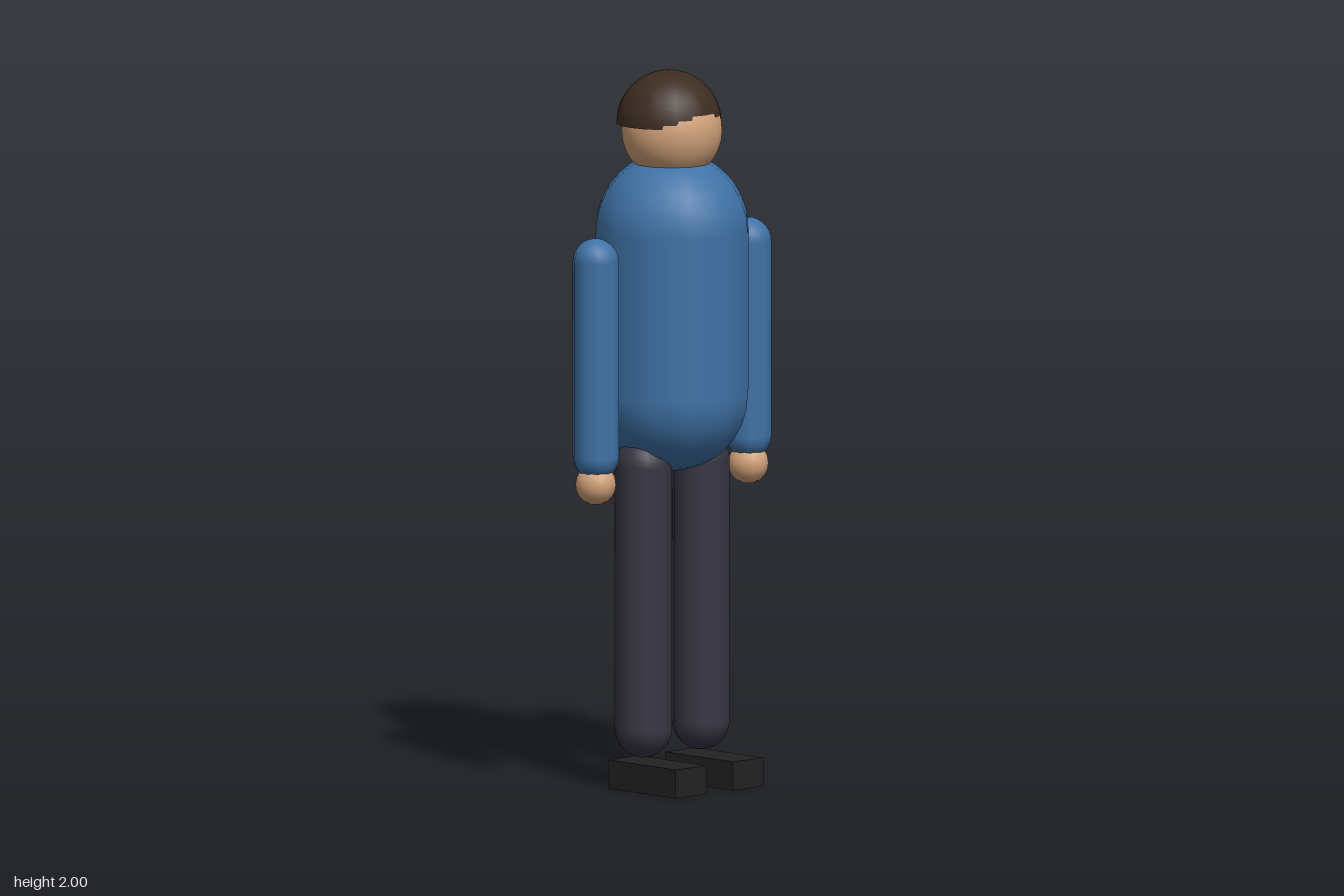
import * as THREE from 'three';

const material = (name, color) => {
  const m = new THREE.MeshStandardMaterial({ color });
  m.name = name;
  return m;
};

export function createModel() {
  const shirt = material('blue shirt', 0x3f72a6);
  const trousers = material('dark trousers', 0x383643);
  const skin = material('skin', 0xd2a27a);
  const hairBrown = material('brown hair', 0x3d2c21);
  const leather = material('black leather', 0x222222);

  const model = new THREE.Group();
  model.name = 'person';

  const add = (name, geometry, mat, x, y, z = 0) => {
    const mesh = new THREE.Mesh(geometry, mat);
    mesh.name = name;
    mesh.position.set(x, y, z);
    model.add(mesh);
    return mesh;
  };

  // Upright capsule with one vertex column facing the front
  const capsule = (radius, bottom, top, sides) =>
    new THREE.CapsuleGeometry(radius, top - bottom - 2 * radius, 8, sides)
      .rotateY(Math.PI / 2)
      .translate(0, (top + bottom) / 2, 0);

  // Torso and head
  add('torso', capsule(0.218, 0.883, 1.772, 12), shirt, 0, 0);
  add('head', new THREE.SphereGeometry(0.141, 20, 16), skin, 0, 1.835);

  // Hair: a half dome set slightly back on the head
  const dome = new THREE.SphereGeometry(0.147, 20, 12, 0, Math.PI * 2, 0, Math.PI / 2);
  add('hair', dome, hairBrown, 0, 1.853, -0.012);

  // Paired limbs
  for (const [side, s] of [['left', 1], ['right', -1]]) {
    add(side + 'Arm', capsule(0.065, 0.885, 1.56, 10), shirt, s * 0.294, 0);
    add(side + 'Hand', new THREE.SphereGeometry(0.058, 12, 10), skin, s * 0.294, 0.873);
    add(side + 'Leg', capsule(0.081, 0.09, 0.985, 10), trousers, s * 0.111, 0);
    add(side + 'Shoe', new THREE.BoxGeometry(0.118, 0.08, 0.27), leather, s * 0.11, 0.04, 0.054);
  }

  return model;
}
